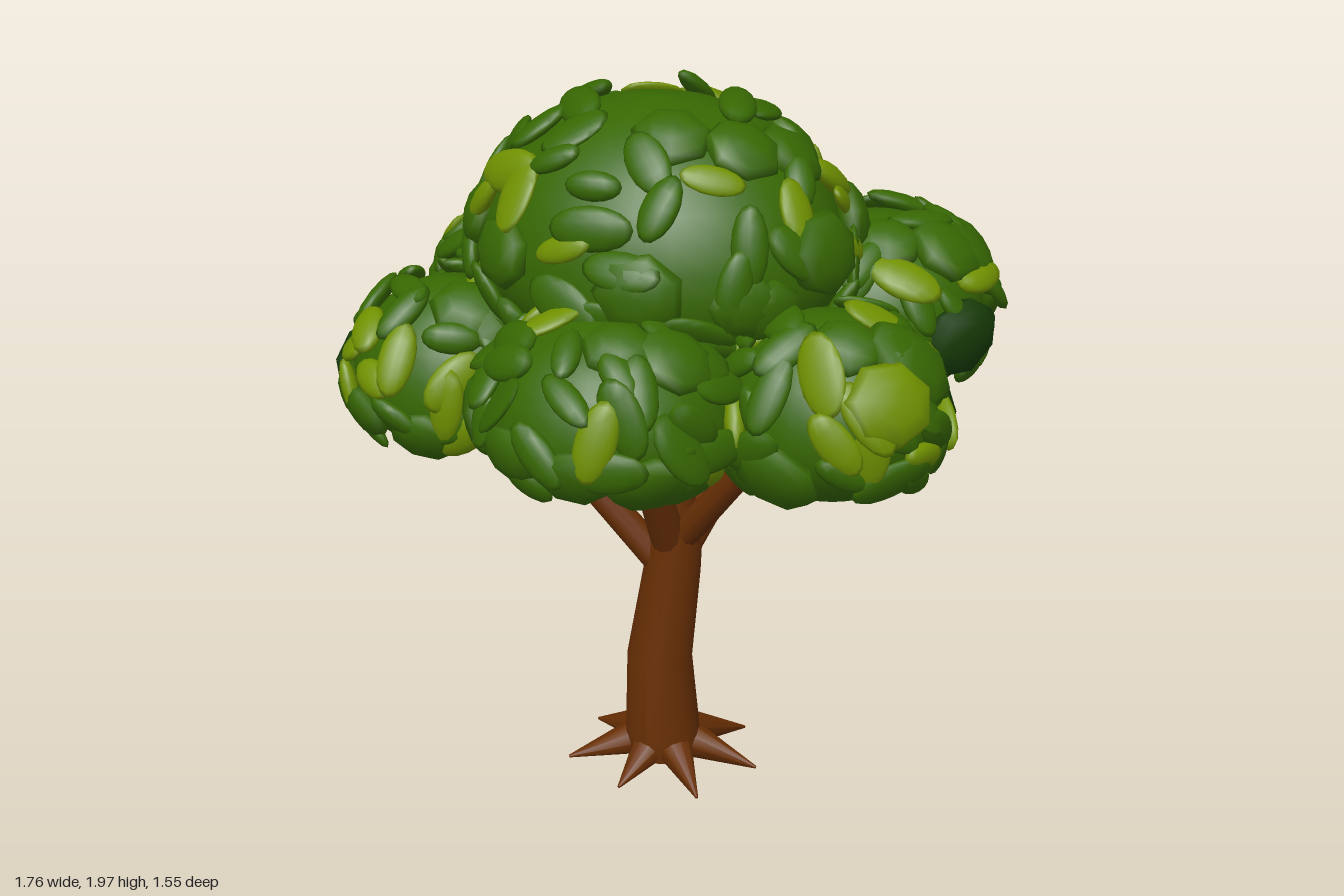
import * as THREE from 'three';
import { mergeGeometries } from 'three/addons/utils/BufferGeometryUtils.js';

const V = (x, y, z) => new THREE.Vector3(x, y, z);

// small seeded random generator
let seed = 7;
const rand = () => {
  seed = (seed * 16807) % 2147483647;
  return seed / 2147483647;
};
const range = (a, b) => a + (b - a) * rand();

// crown masses: centre, half widths in x and z, height above and below centre
const masses = [
  { name: 'topCrown', c: V(0, 1.53, 0.02), rx: 0.5, rz: 0.43, up: 0.42, down: 0.3, n: 92 },
  { name: 'frontCrown', c: V(0.05, 1.22, 0.42), rx: 0.33, rz: 0.31, up: 0.27, down: 0.19, n: 64 },
  { name: 'leftFrontCrown', c: V(0.55, 1.22, 0.18), rx: 0.28, rz: 0.26, up: 0.27, down: 0.22, n: 58 },
  { name: 'rightFrontCrown', c: V(-0.53, 1.14, 0.2), rx: 0.29, rz: 0.26, up: 0.29, down: 0.18, n: 58 },
  { name: 'leftBackCrown', c: V(0.48, 1.37, -0.32), rx: 0.29, rz: 0.28, up: 0.23, down: 0.3, n: 58 },
  { name: 'rightBackCrown', c: V(-0.52, 1.28, -0.27), rx: 0.28, rz: 0.26, up: 0.21, down: 0.17, n: 56 },
  { name: 'backCrown', c: V(-0.08, 1.41, -0.41), rx: 0.34, rz: 0.33, up: 0.32, down: 0.23, n: 66 },
];

// point and normal on a mass in direction d
function onMass(m, d) {
  const ry = d.y > 0 ? m.up : m.down;
  return {
    p: V(d.x * m.rx, d.y * ry, d.z * m.rz).add(m.c),
    n: V(d.x / m.rx, d.y / ry, d.z / m.rz).normalize(),
  };
}

function isInside(m, p) {
  const q = p.clone().sub(m.c);
  return Math.hypot(q.x / m.rx, q.y / (q.y > 0 ? m.up : m.down), q.z / m.rz) < 0.9;
}

// smooth dome with a shallower underside
function massGeometry(m) {
  const g = new THREE.SphereGeometry(1, 28, 18);
  const pos = g.attributes.position;
  for (let i = 0; i < pos.count; i++) {
    const { p } = onMass(m, V().fromBufferAttribute(pos, i));
    pos.setXYZ(i, p.x, p.y, p.z);
  }
  g.computeVertexNormals();
  return g;
}

// ellipsoid lying against a surface, spun about the normal and tilted
function leafGeometry(p, n, length, width, thick, spin, tilt) {
  const g = new THREE.SphereGeometry(1, 12, 8);
  g.scale(length, width, thick);
  const q = new THREE.Quaternion().setFromUnitVectors(V(0, 0, 1), n)
    .multiply(new THREE.Quaternion().setFromEuler(new THREE.Euler(tilt, tilt * 0.4, spin, 'ZXY')));
  return g.applyQuaternion(q).translate(p.x, p.y, p.z);
}

// broad tuft with an angular outline
function tuftGeometry(p, n, r) {
  const g = new THREE.SphereGeometry(1, 7, 6);
  g.rotateX(Math.PI / 2).scale(r, r * 0.9, r * 0.45);
  const q = new THREE.Quaternion().setFromUnitVectors(V(0, 0, 1), n);
  return g.applyQuaternion(q).translate(p.x, p.y, p.z);
}

// tapered limb between two points
function limb(a, b, r0, r1, sides = 12) {
  const d = b.clone().sub(a);
  const g = new THREE.CylinderGeometry(r1, r0, d.length(), sides);
  g.applyQuaternion(new THREE.Quaternion().setFromUnitVectors(V(0, 1, 0), d.normalize()));
  const c = a.clone().add(b).multiplyScalar(0.5);
  return g.translate(c.x, c.y, c.z);
}

export function createModel() {
  seed = 7;
  const mat = (name, color) => {
    const m = new THREE.MeshStandardMaterial({ color });
    m.name = name;
    return m;
  };
  const bark = mat('bark', 0x682f04);
  const greens = {
    green: mat('leafGreen', 0x376702),
    lime: mat('limeGreen', 0x709000),
    dark: mat('darkGreen', 0x183e08),
  };
  const model = new THREE.Group();
  model.name = 'tree';
  const add = (parent, name, geometry, material) => {
    const mesh = new THREE.Mesh(geometry, material);
    mesh.name = name;
    parent.add(mesh);
  };

  // trunk: rows of a cylinder moved onto a leaning, tapering path (y, x, z, radius)
  const rows = [
    [0.74, 0.04, 0.005, 0.072], [0.6, 0.025, 0.005, 0.08], [0.33, -0.01, 0.012, 0.092],
    [0.1, 0.003, 0.018, 0.106], [0.03, 0.003, 0.01, 0.1],
  ];
  const trunk = new THREE.CylinderGeometry(1, 1, 1, 20, 4);
  const tp = trunk.attributes.position;
  for (let i = 0; i < tp.count; i++) {
    const [y, x, z, r] = rows[Math.round((0.5 - tp.getY(i)) * 4)];
    tp.setXYZ(i, x + tp.getX(i) * r, y, z + tp.getZ(i) * r);
  }
  trunk.computeVertexNormals();
  add(model, 'trunk', trunk, bark);

  // seven roots
  for (let i = 0; i < 7; i++) {
    const a = 0.79 + (i / 7) * Math.PI * 2;
    const at = (r, y) => V(Math.cos(a) * r, y, Math.sin(a) * r);
    add(model, 'root', limb(at(0.05, 0.075), at(i === 1 ? 0.24 : 0.275, 0.01), 0.06, 0.004, 10), bark);
  }

  // branches reaching into the crown
  const branches = [
    [V(0.0, 0.62, 0.02), V(-0.42, 1.12, 0.14), 0.045],
    [V(0.07, 0.72, 0.02), V(0.42, 1.15, 0.14), 0.042],
    [V(0.03, 0.69, 0.03), V(0.03, 1.15, 0.27), 0.05],
    [V(0.03, 0.68, 0), V(0.0, 1.35, 0), 0.068],
    [V(0.06, 0.69, -0.02), V(0.3, 1.22, -0.22), 0.05],
    [V(0.02, 0.68, -0.01), V(-0.38, 1.25, -0.18), 0.042],
    [V(0.04, 0.67, -0.02), V(-0.04, 1.3, -0.22), 0.048],
  ];
  for (const [a, b, r] of branches) add(model, 'branch', limb(a, b, r, r * 0.75), bark);

  // crown masses, each covered with leaves and tufts
  for (const m of masses) {
    const group = new THREE.Group();
    group.name = m.name;
    model.add(group);
    add(group, 'foliageMass', massGeometry(m), greens.green);
    const sets = { green: [], lime: [] };
    for (let i = 0; i < m.n; i++) {
      const y = 0.92 - (i / m.n) * 1.5;
      const a = i * 2.39996 + range(-0.25, 0.25);
      const s = Math.sqrt(1 - y * y);
      const { p, n } = onMass(m, V(Math.cos(a) * s, y, Math.sin(a) * s));
      if (masses.some((o) => o !== m && isInside(o, p))) continue;
      if (i % 5 === 3) {
        sets[rand() < 0.05 ? 'lime' : 'green'].push(tuftGeometry(p, n, range(0.09, 0.125)));
      } else {
        const size = range(0.075, 0.115);
        sets[rand() < 0.24 ? 'lime' : 'green'].push(leafGeometry(p.addScaledVector(n, 0.018), n, size,
          size * range(0.42, 0.58), range(0.016, 0.03), range(0, Math.PI), range(-0.45, 0.45)));
      }
    }
    for (const key in sets) add(group, key + 'Leaves', mergeGeometries(sets[key]), greens[key]);
  }

  // large accent tufts: mass index, direction, colour
  const accents = [
    [2, V(0.75, 0.4, 0.55), 'lime'], [5, V(-0.75, 0.35, -0.5), 'lime'],
    [0, V(-0.05, 0.62, -0.72), 'lime'], [0, V(-0.75, 0.25, -0.65), 'lime'],
    [4, V(1, -0.15, 0.4), 'dark'], [2, V(0.6, -0.15, -0.75), 'dark'],
    [3, V(-1, -0.05, -0.1), 'dark'], [0, V(-1, 0.05, -0.05), 'dark'],
    [1, V(0.05, -0.5, -0.75), 'dark'],
    // tufts bridging the gaps between the top and the side masses
    [0, V(0.85, 0.2, -0.5), 'green'], [0, V(0.65, 0.2, -0.75), 'green'],
    [0, V(0.95, 0.2, 0.2), 'green'], [4, V(-0.4, 0.9, 0.3), 'green'],
    [4, V(-0.7, 0.6, -0.3), 'green'], [5, V(0.2, 0.9, -0.2), 'green'],
  ];
  for (const [i, d, key] of accents) {
    const { p, n } = onMass(masses[i], d.normalize());
    add(model, 'accentTuft', tuftGeometry(p.addScaledVector(n, 0.015), n, 0.125), greens[key]);
  }
  return model;
}
